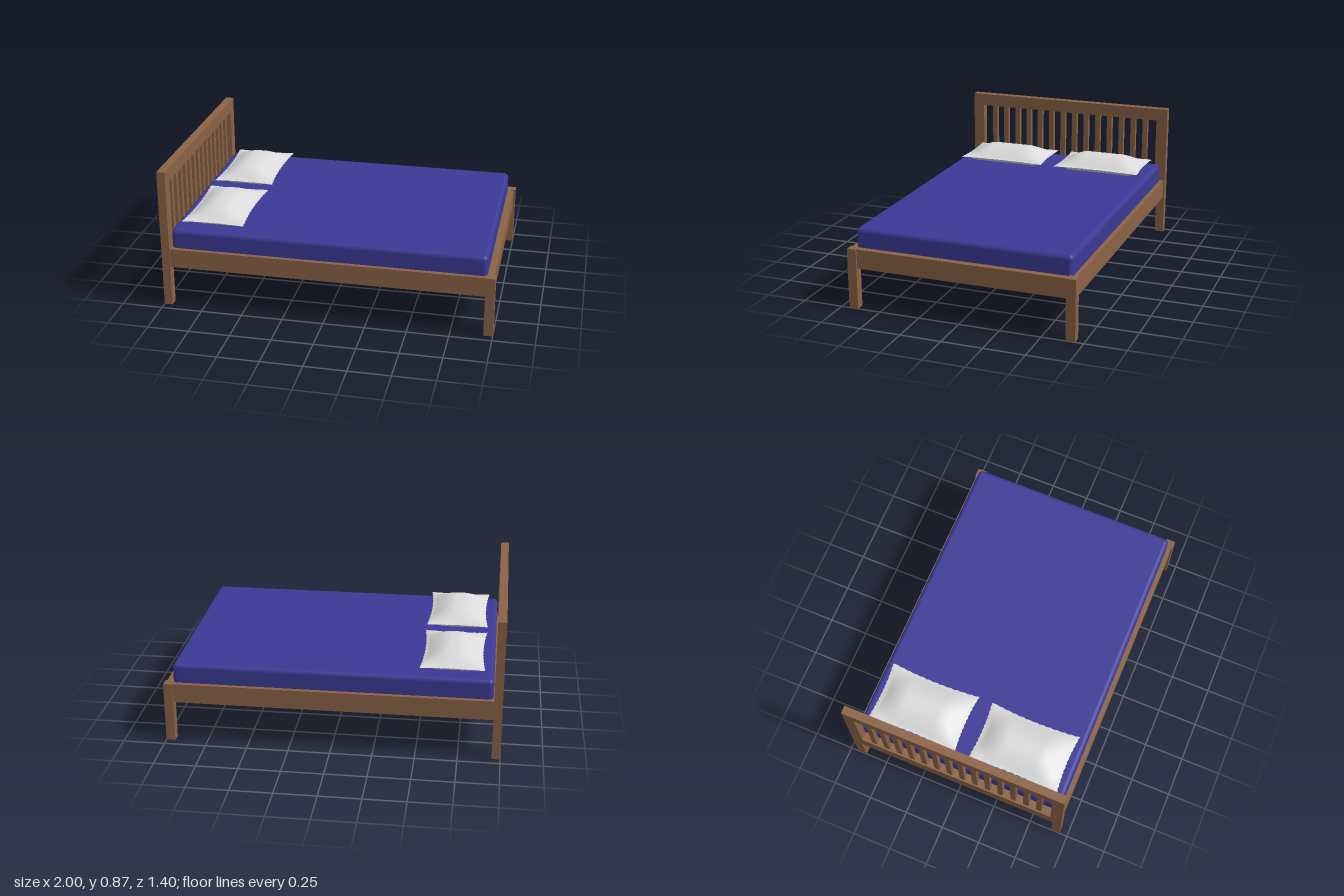
import * as THREE from 'three';
import { RoundedBoxGeometry } from 'three/addons/geometries/RoundedBoxGeometry.js';
import { mergeGeometries, mergeVertices } from 'three/addons/utils/BufferGeometryUtils.js';

const paint = (name, color) => {
  const m = new THREE.MeshStandardMaterial({ color });
  m.name = name;
  return m;
};

// One face of a pillow: a grid with pinched-in edges, a flat hem and a domed middle.
function pillowFace(side) {
  const n = 40;
  const g = new THREE.PlaneGeometry(2, 2, n, n).rotateX(-side * Math.PI / 2);
  const p = g.attributes.position;
  const rise = (t, plateau) => {
    const s = Math.min(1, Math.max(0, (0.93 - Math.abs(t)) / (0.93 - plateau)));
    return Math.sin(s * Math.PI / 2);
  };
  for (let i = 0; i < p.count; i++) {
    const u = p.getX(i), v = p.getZ(i);
    const edge = Math.max(Math.abs(u), Math.abs(v));
    // slight ruffle along the hem
    const ruffle = edge > 0.93 ? 0.0025 * Math.sin(40 * (Math.abs(u) < Math.abs(v) ? u : v)) : 0;
    const x = u * (0.173 + 0.017 * v * v + ruffle);
    const z = v * (0.275 + 0.013 * u * u + ruffle);
    const y = side > 0
      ? 0.058 * rise(u, 0.1) * rise(v, 0.4)
      : -0.036 * rise(u, 0.45) * rise(v, 0.7);
    const hem = edge > 0.99 ? 0 : side * 0.004;
    p.setXYZ(i, x, y + hem, z);
  }
  g.computeVertexNormals();
  return g;
}

export function createModel() {
  const bed = new THREE.Group();
  bed.name = 'bed';
  const wood = paint('wood', 0x8b6346);
  const blue = paint('mattressBlue', 0x3b3a96);
  const linen = paint('pillowGrey', 0xdadada);

  const add = (name, geometry, material, x = 0, y = 0, z = 0) => {
    const mesh = new THREE.Mesh(geometry, material);
    mesh.name = name;
    mesh.position.set(x, y, z);
    bed.add(mesh);
    return mesh;
  };
  // Box given by its minimum and maximum corners
  const block = (name, a, b) => add(name,
    new THREE.BoxGeometry(b[0] - a[0], b[1] - a[1], b[2] - a[2]), wood,
    (a[0] + b[0]) / 2, (a[1] + b[1]) / 2, (a[2] + b[2]) / 2);

  // Headboard: legs, posts and rails cut from one outline
  const outline = new THREE.Shape([
    [-0.7, 0], [-0.643, 0], [-0.643, 0.25], [0.643, 0.25],
    [0.643, 0], [0.7, 0], [0.7, 0.865], [-0.7, 0.865],
  ].map(([x, y]) => new THREE.Vector2(x, y)));
  outline.holes.push(new THREE.Path([
    [-0.627, 0.37], [-0.627, 0.785], [0.627, 0.785], [0.627, 0.37],
  ].map(([x, y]) => new THREE.Vector2(x, y))));
  const board = new THREE.ExtrudeGeometry(outline, { depth: 0.05, bevelEnabled: false });
  board.rotateY(-Math.PI / 2);
  add('headboard', board, wood, -0.95);

  // Headboard slats
  for (let i = 0; i < 14; i++) {
    const z = (i - 6.5) * 0.084;
    block('headboardSlat', [-0.99, 0.365, z - 0.017], [-0.96, 0.79, z + 0.017]);
  }

  // Bed base with its side and foot rails, and the foot legs
  block('bedBase', [-0.95, 0.25, -0.692], [0.99, 0.368, 0.692]);
  for (const s of [-1, 1]) {
    const z = s * 0.6715;
    block('footLeg', [0.945, 0, z - 0.0285], [1, 0.37, z + 0.0285]);
  }

  // Mattress, sunk a little into the base
  add('mattress', new RoundedBoxGeometry(1.895, 0.157, 1.33, 4, 0.028), blue, 0.0025, 0.4085, 0);

  // Pillows
  const pillow = mergeGeometries([pillowFace(1), pillowFace(-1)]);
  for (const z of [-0.333, 0.33]) add('pillow', mergeVertices(pillow), linen, -0.7, 0.525, z);

  return bed;
}
